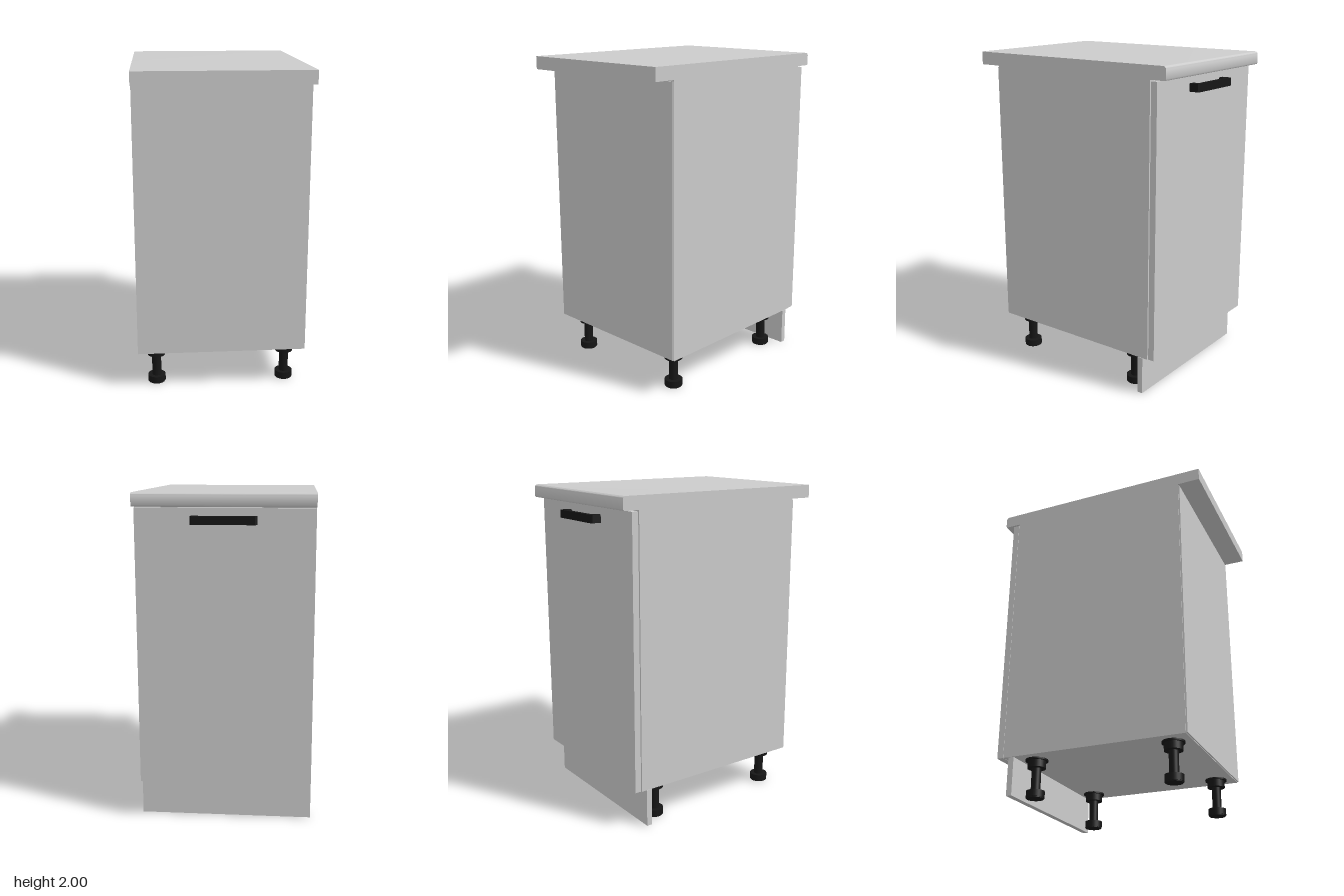
import * as THREE from 'three';
import { toCreasedNormals } from 'three/addons/utils/BufferGeometryUtils.js';

const grey = new THREE.MeshStandardMaterial({ color: 0xcccccc });
const black = new THREE.MeshStandardMaterial({ color: 0x161616 });

// Box given by its min and max on each axis
function panel(parent, name, [x0, x1], [y0, y1], [z0, z1]) {
  const mesh = new THREE.Mesh(new THREE.BoxGeometry(x1 - x0, y1 - y0, z1 - z0), grey);
  mesh.name = name;
  mesh.position.set((x0 + x1) / 2, (y0 + y1) / 2, (z0 + z1) / 2);
  parent.add(mesh);
}

// Worktop: a slab whose edge above the door is rounded
function makeWorktop() {
  const s = new THREE.Shape(), front = -0.695, back = 0.705, y0 = 1.92, y1 = 2, r = 0.02;
  s.moveTo(back, y0);
  s.lineTo(back, y1);
  s.lineTo(front + r, y1);
  s.absarc(front + r, y1 - r, r, Math.PI / 2, Math.PI, false);
  s.lineTo(front, y0 + r / 2);
  s.absarc(front + r / 2, y0 + r / 2, r / 2, Math.PI, Math.PI * 1.5, false);
  s.closePath();
  const geo = new THREE.ExtrudeGeometry(s, { depth: 1.05, bevelEnabled: false, curveSegments: 8 });
  geo.translate(0, 0, -0.525).rotateY(-Math.PI / 2);
  const mesh = new THREE.Mesh(toCreasedNormals(geo, 0.6), grey);
  mesh.name = 'worktop';
  return mesh;
}

// Handle: a bar on two end posts with chamfered corners
function makeHandle() {
  const pts = [[-0.19, -0.634], [-0.19, -0.692], [-0.18, -0.7], [0.18, -0.7], [0.19, -0.692], [0.19, -0.634],
    [0.148, -0.634], [0.148, -0.672], [-0.148, -0.672], [-0.148, -0.634]];
  const shape = new THREE.Shape(pts.map(([x, z]) => new THREE.Vector2(x, z)));
  const geo = new THREE.ExtrudeGeometry(shape, { depth: 0.048, bevelEnabled: false });
  geo.rotateX(Math.PI / 2);
  const mesh = new THREE.Mesh(geo, black);
  mesh.name = 'handle';
  mesh.position.y = 1.869;
  return mesh;
}

// Adjustable leg: foot, shaft, collar and mounting flange
function makeLeg(x, z) {
  const leg = new THREE.Group();
  leg.name = 'leg';
  const parts = [['foot', 0.056, 0.005, 0.046], ['footPad', 0.052, 0, 0.005], ['shaft', 0.029, 0.046, 0.19],
    ['collar', 0.056, 0.186, 0.23], ['flange', 0.069, 0.23, 0.244]];
  for (const [name, r, y0, y1] of parts) {
    const mesh = new THREE.Mesh(new THREE.CylinderGeometry(r, r, y1 - y0, 28), black);
    mesh.name = name;
    mesh.position.y = (y0 + y1) / 2;
    leg.add(mesh);
  }
  leg.position.set(x, 0, z);
  return leg;
}

export function createModel() {
  const model = new THREE.Group();
  model.name = 'baseCabinet';

  // Carcass
  const carcass = new THREE.Group();
  carcass.name = 'carcass';
  panel(carcass, 'sidePanelRight', [-0.525, -0.489], [0.24, 1.92], [-0.592, 0.563]);
  panel(carcass, 'sidePanelLeft', [0.489, 0.525], [0.24, 1.92], [-0.592, 0.563]);
  panel(carcass, 'bottomPanel', [-0.489, 0.489], [0.24, 0.276], [-0.592, 0.563]);
  panel(carcass, 'doorSideRail', [-0.489, 0.489], [1.884, 1.92], [-0.592, -0.38]);
  panel(carcass, 'wallSideRail', [-0.489, 0.489], [1.884, 1.92], [0.35, 0.563]);
  panel(carcass, 'shelf', [-0.487, 0.487], [1.06, 1.096], [-0.55, 0.563]);
  panel(carcass, 'backPanel', [-0.521, 0.521], [0.244, 1.912], [0.563, 0.572]);
  model.add(carcass);

  // Door and plinth
  panel(model, 'door', [-0.521, 0.521], [0.241, 1.912], [-0.636, -0.596]);
  panel(model, 'plinth', [-0.525, 0.525], [0.003, 0.238], [-0.556, -0.521]);

  model.add(makeWorktop(), makeHandle());
  for (const x of [-0.41, 0.41]) for (const z of [0.45, -0.425]) model.add(makeLeg(x, z));
  return model;
}
